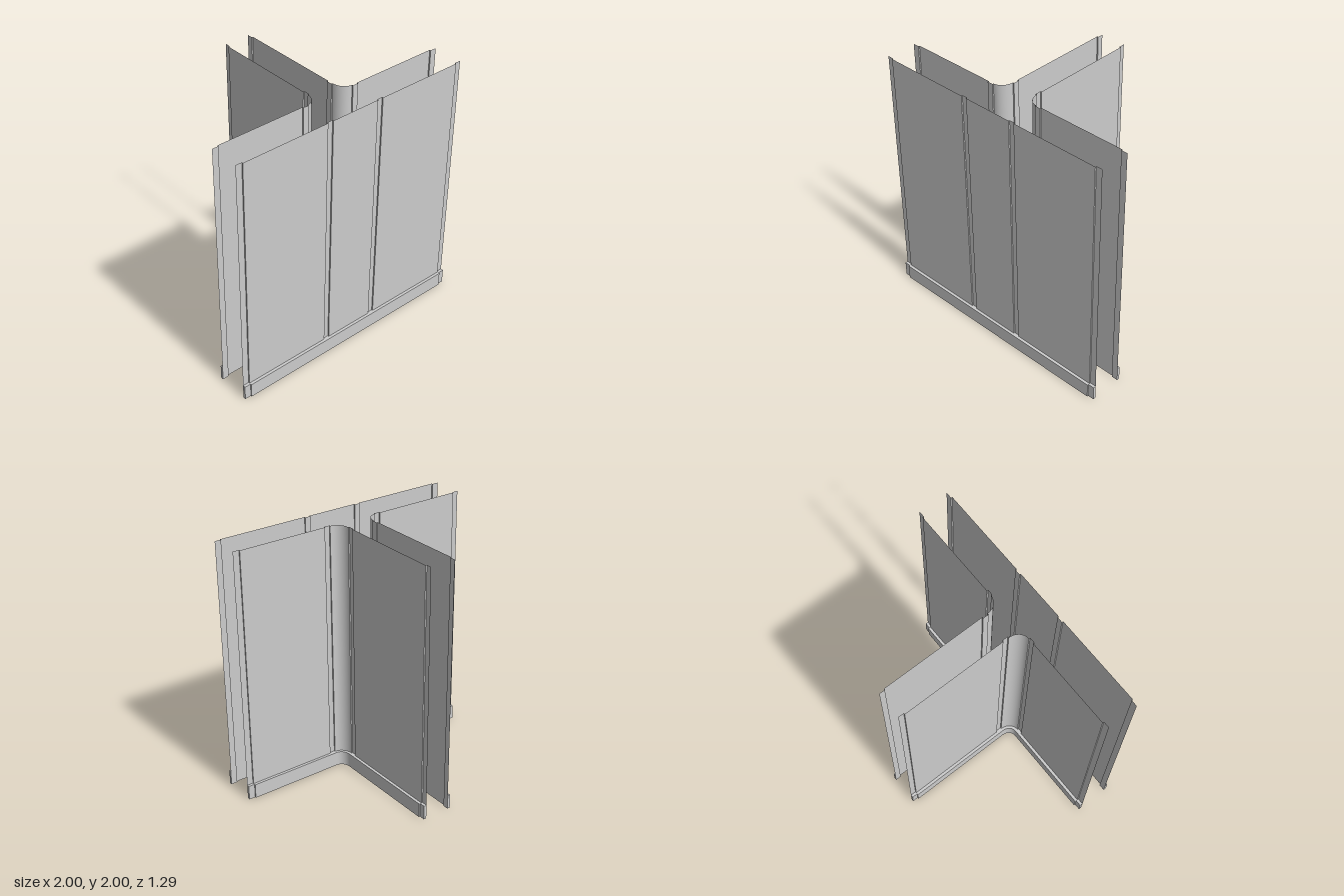
import * as THREE from 'three';
import { toCreasedNormals } from 'three/addons/utils/BufferGeometryUtils.js';

const HEIGHT = 2, SKIRT = 0.115;
const material = new THREE.MeshStandardMaterial({ color: 0xcccccc, side: THREE.DoubleSide });

function addMesh(parent, name, geometry) {
  const mesh = new THREE.Mesh(toCreasedNormals(geometry, 0.5), material);
  mesh.name = name;
  parent.add(mesh);
}

// Thin sheet standing on a plan path of [x, z] points
function sheet(path, y0, y1) {
  const positions = [], index = [];
  path.forEach(([x, z], i) => {
    positions.push(x, y0, z, x, y1, z);
    if (i > 0) {
      const a = 2 * (i - 1);
      index.push(a, a + 2, a + 1, a + 1, a + 2, a + 3);
    }
  });
  const geometry = new THREE.BufferGeometry();
  geometry.setAttribute('position', new THREE.Float32BufferAttribute(positions, 3));
  geometry.setIndex(index);
  geometry.computeVertexNormals();
  return geometry;
}

// Solid skirting between the corridor face and the outer face
function skirting(inner, outer) {
  const outline = [...inner, ...[...outer].reverse()].map(([x, z]) => new THREE.Vector2(x, z));
  return new THREE.ExtrudeGeometry(new THREE.Shape(outline), { depth: SKIRT, bevelEnabled: false })
    .rotateX(Math.PI / 2).translate(0, SKIRT, 0);
}

// Quarter ellipse around the rounded wall corner
function corner(rx, rz, steps = 10) {
  return Array.from({ length: steps + 1 }, (_, i) => {
    const a = (i / steps) * Math.PI / 2;
    return [0.2 - rx * Math.cos(a), 0.266 + rz * Math.sin(a)];
  });
}

function wall(name, inner, outer) {
  const group = new THREE.Group();
  group.name = name;
  addMesh(group, 'wallSheet', sheet(inner, SKIRT, HEIGHT));
  addMesh(group, 'skirting', skirting(inner, outer));
  return group;
}

export function createModel() {
  const model = new THREE.Group();
  model.name = 'corridorJunction';

  // Straight front wall with raised strips at the ends and beside the opening
  const half = [[0.2, 0.623], [0.2, 0.613], [0.245, 0.613], [0.245, 0.623],
    [0.95, 0.623], [0.95, 0.613], [1, 0.613]];
  const outerHalf = [[0.95, 0.645], [0.95, 0.635], [1, 0.635]];
  const flip = (points) => points.map(([x, z]) => [-x, z]);
  const both = (points) => [...flip(points).reverse(), ...points];
  model.add(wall('frontWall', both(half), both(outerHalf)));

  // Mirrored corner walls: rear leg, rounded corner, side leg
  const inner = [[0.102, -0.645], [0.102, -0.6], [0.112, -0.6], [0.112, 0.22],
    [0.102, 0.22], [0.102, 0.266], ...corner(0.088, 0.1), [0.2, 0.376],
    [0.245, 0.376], [0.245, 0.366], [0.95, 0.366], [0.95, 0.376], [1, 0.376]];
  const outer = [[0.124, -0.645], [0.124, -0.6], [0.134, -0.6], ...corner(0.066, 0.078),
    [0.95, 0.344], [0.95, 0.354], [1, 0.354]];
  model.add(wall('leftCornerWall', inner, outer));
  model.add(wall('rightCornerWall', flip(inner), flip(outer)));

  return model;
}
